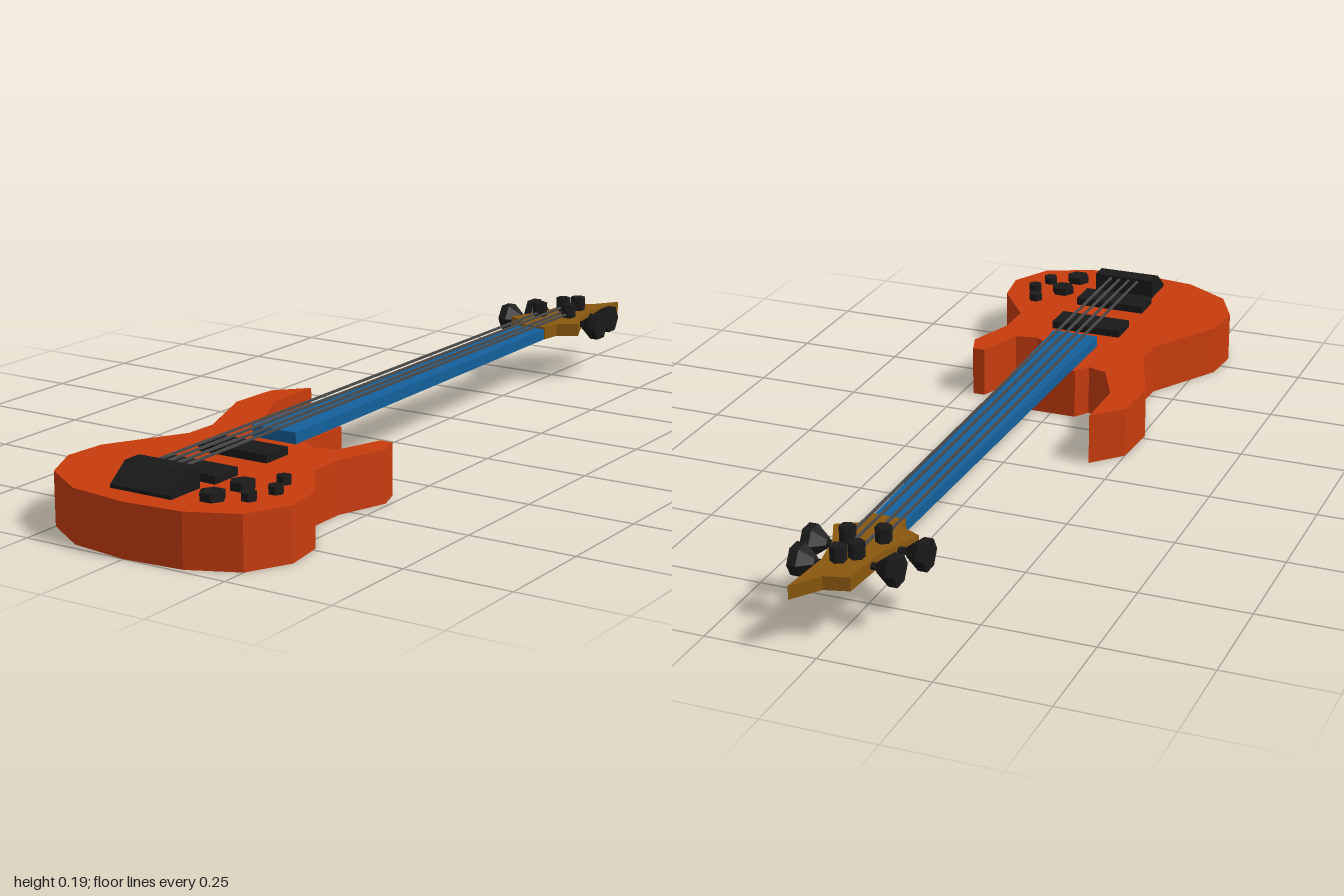
import * as THREE from 'three';

const mat = (color) => new THREE.MeshStandardMaterial({ color, flatShading: true });

export function createModel() {
  const model = new THREE.Group();
  const red = mat(0xc83c0e), blue = mat(0x14609c), brown = mat(0x8a580f);
  const black = mat(0x1a1a1a), steel = mat(0x4a4a4a);

  const add = (name, geometry, material, parent = model) => {
    const mesh = new THREE.Mesh(geometry, material);
    mesh.name = name;
    parent.add(mesh);
    return mesh;
  };

  // Flat slab from an [x, z] outline, between two heights
  const slab = (outline, bottom, top) => {
    const shape = new THREE.Shape(outline.map(([x, z]) => new THREE.Vector2(x, -z)));
    return new THREE.ExtrudeGeometry(shape, { depth: top - bottom, bevelEnabled: false })
      .rotateX(-Math.PI / 2).translate(0, bottom, 0);
  };

  // Body with two horns and a neck heel
  add('body', slab([
    [-0.185, 0.07], [-0.25, 0.14], [-0.257, 0.265], [-0.187, 0.45], [-0.19, 0.53],
    [-0.292, 0.705], [-0.3, 0.805], [-0.25, 0.91], [-0.14, 0.98], [0, 1],
    [0.14, 0.988], [0.25, 0.937], [0.3, 0.84], [0.285, 0.74], [0.2, 0.62],
    [0.2, 0.53], [0.24, 0.41], [0.222, 0.355], [0.192, 0.355], [0.153, 0.468],
    [0.1, 0.478], [0.06, 0.45], [0.06, 0.31], [-0.062, 0.31], [-0.085, 0.345],
    [-0.132, 0.33], [-0.185, 0.215],
  ], 0, 0.12), red);

  // Tapered neck
  add('neck', slab([[-0.057, 0.48], [0.057, 0.48], [0.037, -0.64], [-0.037, -0.64]], 0.12, 0.146), blue);

  // Pointed headstock
  add('headstock', slab([
    [-0.038, -0.64], [-0.045, -0.675], [-0.093, -0.7], [-0.052, -0.8], [-0.042, -0.922],
    [0.012, -0.937], [0.057, -1], [0.046, -0.87], [0.06, -0.79], [0.092, -0.717],
    [0.045, -0.69], [0.038, -0.64],
  ], 0.12, 0.151), brown);

  // Pickups
  for (const z of [0.592, 0.77]) {
    add('pickup', new THREE.BoxGeometry(0.176, 0.02, 0.078), black).position.set(0, 0.128, z);
  }

  // Wedge-shaped bridge, its profile drawn in z and y
  const profile = new THREE.Shape([
    [0.845, 0.118], [0.94, 0.118], [0.94, 0.128], [0.89, 0.167], [0.845, 0.167],
  ].map(([z, y]) => new THREE.Vector2(-z, y)));
  add('bridge', new THREE.ExtrudeGeometry(profile, { depth: 0.154, bevelEnabled: false })
    .rotateY(Math.PI / 2).translate(-0.077, 0, 0), black);

  // Control knobs
  for (const [x, z, r] of [
    [0.152, 0.802, 0.028], [0.143, 0.892, 0.028],
    [0.2, 0.727, 0.017], [0.225, 0.79, 0.017], [0.207, 0.857, 0.017],
  ]) {
    add('controlKnob', new THREE.CylinderGeometry(r, r, 0.02, 6).rotateY(Math.PI / 6), black)
      .position.set(x, 0.128, z);
  }

  // Tuners: post, shaft and flared key; one string runs to each post
  [
    [-0.037, -0.75, -0.14], [-0.016, -0.835, -0.112],
    [0.012, -0.862, 0.112], [0.032, -0.775, 0.126],
  ].forEach(([x, z, end], i) => {
    const tuner = new THREE.Group();
    tuner.name = 'tuner';
    model.add(tuner);
    const side = Math.sign(end);
    add('tunerPost', new THREE.CylinderGeometry(0.018, 0.018, 0.07, 6), black, tuner)
      .position.set(x, 0.15, z);
    const length = Math.abs(end - x) - 0.03;
    add('tunerShaft', new THREE.CylinderGeometry(0.008, 0.008, length, 6).rotateZ(Math.PI / 2), black, tuner)
      .position.set(x + side * length / 2, 0.137, z);
    const key = new THREE.LatheGeometry([
      [0, 0], [0.012, 0], [0.035, 0.03], [0.035, 0.05], [0, 0.05],
    ].map(([r, h]) => new THREE.Vector2(r, h)), 6);
    key.rotateZ(-side * Math.PI / 2);
    add('tunerKey', key, black, tuner).position.set(end - side * 0.05, 0.137, z);

    const from = new THREE.Vector3(-0.036 + i * 0.024, 0.16, 0.86);
    const to = new THREE.Vector3(x, 0.16, z);
    const string = add('string', new THREE.BoxGeometry(0.005, 0.005, from.distanceTo(to)), steel);
    string.position.copy(from).lerp(to, 0.5);
    string.lookAt(to);
  });

  return model;
}
